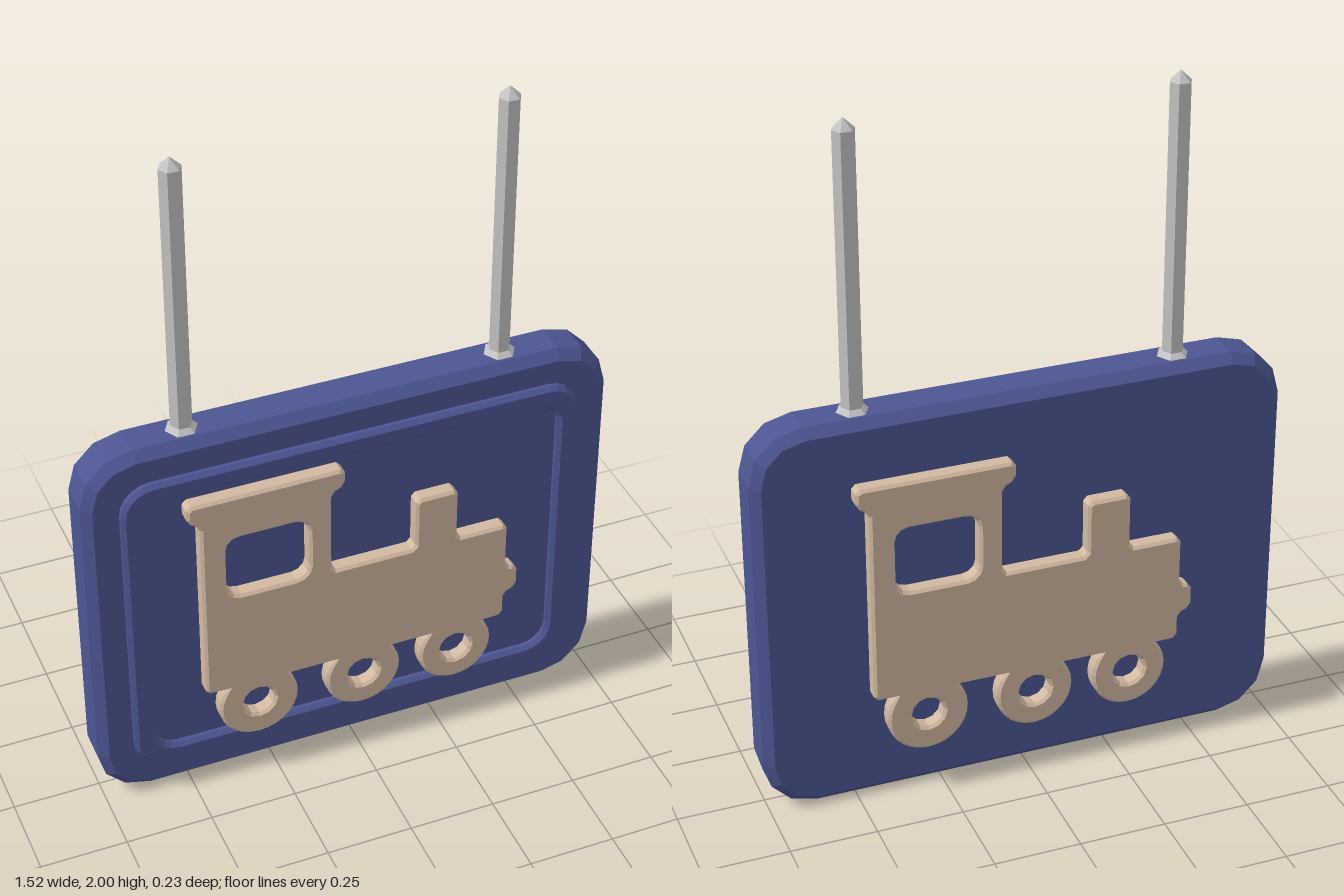
import * as THREE from 'three';

const blue = new THREE.MeshStandardMaterial({ color: 0x4c5692, flatShading: true });
blue.name = 'blue board';
const tan = new THREE.MeshStandardMaterial({ color: 0xd2b9a2, flatShading: true });
tan.name = 'tan relief';
const steel = new THREE.MeshStandardMaterial({ color: 0xc4c4c4, flatShading: true });
steel.name = 'grey metal';

const V = (x, y) => new THREE.Vector2(x, y);

// Rounded rectangle outline, n segments per corner
function roundedRect(x0, y0, x1, y1, r, n) {
  const pts = [];
  const centres = [[x1 - r, y1 - r], [x0 + r, y1 - r], [x0 + r, y0 + r], [x1 - r, y0 + r]];
  centres.forEach(([cx, cy], q) => {
    for (let i = 0; i <= n; i++) {
      const a = (q + i / n) * Math.PI / 2;
      pts.push(V(cx + r * Math.cos(a), cy + r * Math.sin(a)));
    }
  });
  return pts;
}

function arc(cx, cy, r, a0, a1, n) {
  return Array.from({ length: n + 1 }, (_, i) => {
    const a = a0 + (a1 - a0) * i / n;
    return V(cx + r * Math.cos(a), cy + r * Math.sin(a));
  });
}

// Cut every corner of a closed outline by a small distance
function chamfer(pts, d) {
  return pts.flatMap((p, i) => {
    const before = pts[(i + pts.length - 1) % pts.length];
    const after = pts[(i + 1) % pts.length];
    return [before, after].map((q) => p.clone().add(q.clone().sub(p).setLength(d)));
  });
}

// Bevelled plate from z0 to z1 whose outline is the widest section
function plate(name, outline, holes, z0, z1, bevel, material, bevelZ = bevel) {
  const shape = new THREE.Shape(outline);
  shape.holes = holes.map((h) => new THREE.Path(h));
  const geo = new THREE.ExtrudeGeometry(shape, {
    depth: z1 - z0 - 2 * bevelZ, bevelEnabled: true, bevelSegments: 1,
    bevelSize: bevel, bevelThickness: bevelZ, bevelOffset: -bevel,
  });
  geo.translate(0, 0, z0 + bevelZ);
  const mesh = new THREE.Mesh(geo, material);
  mesh.name = name;
  return mesh;
}

function createTrain() {
  // Cab, chimney, boiler and nose, clockwise from the lower rear corner
  const body = chamfer([
    [-0.455, 0.33], [-0.455, 0.925], [-0.49, 0.945], [-0.49, 1.0], [-0.04, 1.0], [-0.04, 0.945],
    [-0.08, 0.925], [-0.08, 0.66], [0.17, 0.66], [0.17, 0.83], [0.295, 0.83], [0.295, 0.66],
    [0.45, 0.66], [0.45, 0.51], [0.487, 0.5], [0.487, 0.425], [0.447, 0.41], [0.447, 0.33],
  ].map(([x, y]) => V(x, y)), 0.012);

  // Wheels hang below the body, each with a hub hole
  const holes = [roundedRect(-0.385, 0.66, -0.145, 0.86, 0.04, 3)];
  const wheelY = 0.257;
  for (const [x, r] of [[0.3, 0.11], [0.015, 0.112], [-0.3, 0.117]]) {
    const a = Math.asin((0.33 - wheelY) / r);
    body.push(...arc(x, wheelY, r, a, -Math.PI - a, 20));
    holes.push(arc(x, wheelY, 0.047, 0, Math.PI * 2 * 11 / 12, 11));
  }
  return plate('train', body, holes, 0.066, 0.117, 0.008, tan);
}

function createRod(x) {
  // Hexagonal rod with a flared foot and a pointed tip
  const rod = new THREE.Group();
  rod.name = 'hangingRod';
  const add = (name, geo, y) => {
    const mesh = new THREE.Mesh(geo, steel);
    mesh.name = name;
    mesh.rotation.y = Math.PI / 6;
    mesh.position.y = y;
    rod.add(mesh);
  };
  add('shaft', new THREE.CylinderGeometry(0.031, 0.031, 0.8, 6, 1, true), 1.57);
  add('tip', new THREE.ConeGeometry(0.031, 0.03, 6, 1, true), 1.985);
  add('foot', new THREE.CylinderGeometry(0.031, 0.048, 0.016, 6, 1, true), 1.186);
  rod.position.x = x;
  return rod;
}

export function createModel() {
  const model = new THREE.Group();
  model.name = 'hangingSign';

  // Chunky board
  model.add(plate('board', roundedRect(-0.76, 0, 0.76, 1.18, 0.15, 3), [],
    -0.0725, 0.0725, 0.027, blue, 0.026));

  // Raised border on the front only
  model.add(plate('border', roundedRect(-0.662, 0.1, 0.662, 1.085, 0.09, 5),
    [roundedRect(-0.602, 0.158, 0.602, 1.025, 0.07, 5)], 0.055, 0.095, 0.012, blue));

  // Train relief on both faces
  const front = createTrain();
  front.name = 'frontTrain';
  const back = createTrain();
  back.name = 'backTrain';
  back.rotation.y = Math.PI;
  model.add(front, back);

  for (const side of [-1, 1]) model.add(createRod(side * 0.457));
  return model;
}
